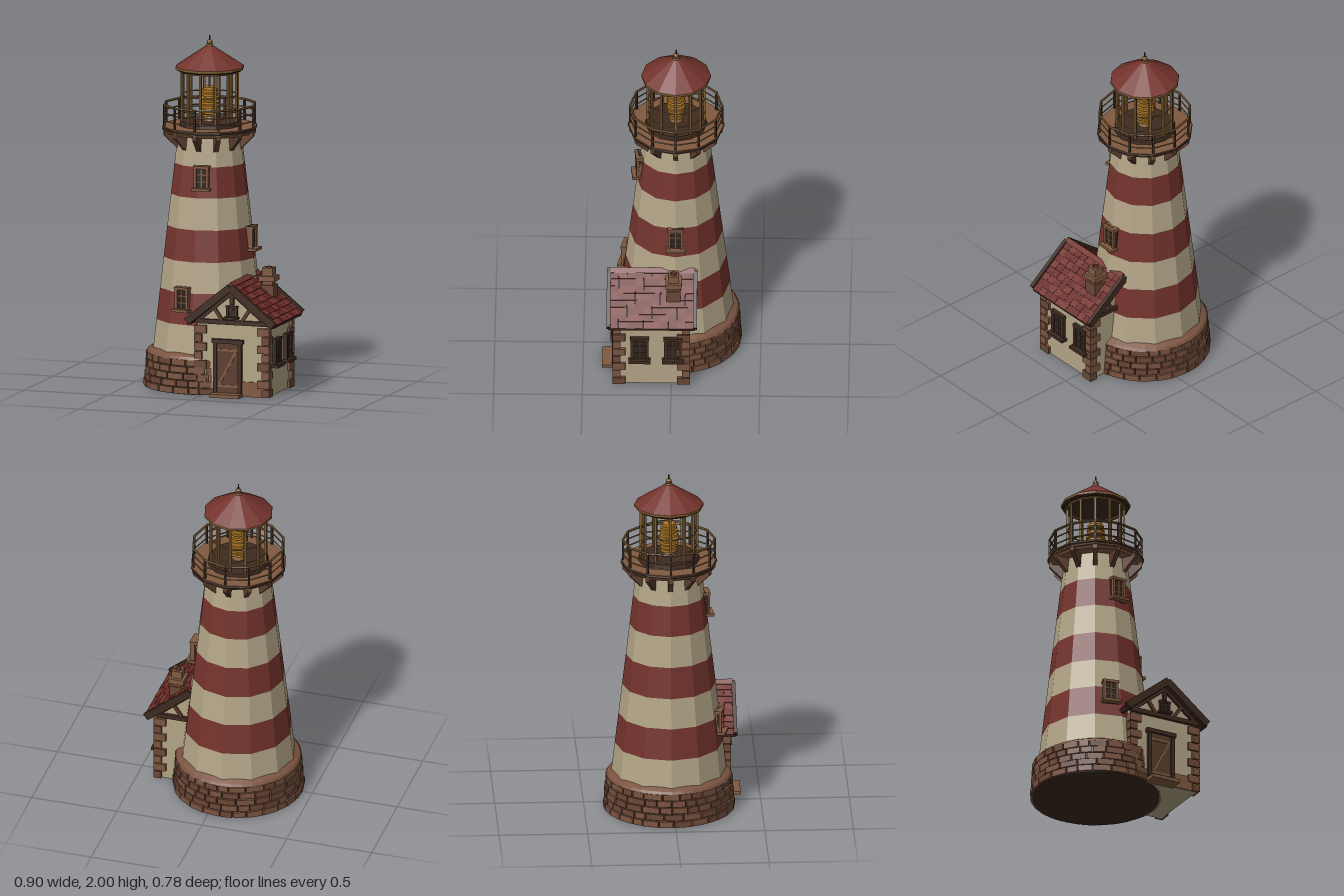
import * as THREE from 'three';

const mat = (color, extra = {}) => new THREE.MeshStandardMaterial({ color, flatShading: true, ...extra });
const M = {
  cream: mat(0xb3a587), red: mat(0x74332d), tile: mat(0x652624), stone: mat(0x7b5440), stone2: mat(0x6b4736),
  mortar: mat(0x3a281e), dark: mat(0x3f2b21), wood: mat(0x5a3c2b), sill: mat(0x805a41), gold: mat(0x7d5c32),
  lens: mat(0xb27a28), pane: mat(0x2f241d), ceiling: mat(0x3d2c1c, { side: THREE.DoubleSide }),
};
const TX = -0.072, TZ = -0.021, HX = 0.18; // tower axis and house ridge

let seed = 7;
const rand = () => (seed = (seed * 16807) % 2147483647) / 2147483647;

function add(parent, name, geo, material, x = 0, y = 0, z = 0) {
  const m = new THREE.Mesh(geo, material);
  m.name = name;
  m.position.set(x, y, z);
  parent.add(m);
  return m;
}
const box = (p, name, m, w, h, d, x, y, z) => add(p, name, new THREE.BoxGeometry(w, h, d), m, x, y, z);
const drum = (p, name, m, r0, r1, y0, y1, n = 12) =>
  add(p, name, new THREE.CylinderGeometry(r1, r0, y1 - y0, n), m, 0, (y0 + y1) / 2, 0);
function ring(p, name, m, r, tube, y, n = 12) {
  const t = add(p, name, new THREE.TorusGeometry(r, tube, 6, n), m, 0, y, 0);
  t.rotation.x = Math.PI / 2;
}
function group(parent, name, x = 0, y = 0, z = 0) {
  const g = new THREE.Group();
  g.name = name;
  g.position.set(x, y, z);
  parent.add(g);
  return g;
}
// box laid between two points in the xy plane
function beam(p, name, m, x0, y0, x1, y1, t, d, z) {
  const b = box(p, name, m, Math.hypot(x1 - x0, y1 - y0), t, d, (x0 + x1) / 2, (y0 + y1) / 2, z);
  b.rotation.z = Math.atan2(y1 - y0, x1 - x0);
}
// framed window facing +z, centred on its group
function makeWindow(parent, name, w, h, frame, x, y, z, turn = 0, depth = 0.035) {
  const g = group(parent, name, x, y, z), t = w * 0.18;
  g.rotation.y = turn;
  box(g, 'pane', M.pane, w, h, depth * 0.5, 0, 0, 0);
  for (const s of [-1, 1]) box(g, 'jamb', frame, t, h, depth, s * (w - t) / 2, 0, 0);
  box(g, 'lintel', frame, w * 1.08, t, depth * 1.1, 0, h / 2 - t / 2, 0);
  box(g, 'sill', frame, w * 1.25, t, depth * 1.5, 0, -h / 2 + t / 2, depth * 0.25);
  box(g, 'mullion', frame, 0.008, h, depth * 0.7, 0, 0, 0);
  for (const s of [-1, 1]) box(g, 'glazingBar', frame, w, 0.006, depth * 0.7, 0, s * h * 0.14, 0);
}

function makeStoneBase(tower) {
  const g = group(tower, 'stoneBase');
  drum(g, 'baseCore', M.mortar, 0.358, 0.342, 0, 0.2, 36);
  drum(g, 'baseLedge', M.stone, 0.355, 0.345, 0.195, 0.212, 36);
  drum(g, 'baseLedgeSlope', M.stone, 0.345, 0.315, 0.212, 0.228, 36);
  const rows = 5, h = 0.198 / rows;
  for (let r = 0; r < rows; r++) {
    const radius = 0.357 - r * 0.0035;
    const widths = Array.from({ length: 26 }, () => 0.7 + rand() * 0.6);
    const total = widths.reduce((a, b) => a + b);
    let a = r * 0.37;
    for (const w of widths) {
      const arc = (w / total) * Math.PI * 2, mid = a + arc / 2, bump = radius + rand() * 0.005 - 0.002;
      const b = box(g, 'stone', rand() < 0.6 ? M.stone : M.stone2, arc * radius - 0.005, h - 0.005, 0.022,
        Math.sin(mid) * bump, (r + 0.5) * h + 0.001, Math.cos(mid) * bump);
      b.rotation.y = mid;
      a += arc;
    }
  }
}

function makeTower(root) {
  const tower = group(root, 'tower', TX, 0, TZ);
  makeStoneBase(tower);
  // striped tapering shaft
  const levels = [0.2, 0.385, 0.565, 0.74, 0.92, 1.1, 1.275, 1.46];
  const rad = (y) => 0.327 - (y - 0.2) * 0.1165;
  for (let i = 0; i < 7; i++)
    drum(tower, i % 2 ? 'redBand' : 'creamBand', i % 2 ? M.red : M.cream, rad(levels[i]), rad(levels[i + 1]), levels[i], levels[i + 1]);
  // shaft windows: height and bearing
  for (const [y, a] of [[0.53, -0.22], [0.855, Math.PI / 2], [1.215, 0.115]]) {
    const r = rad(y) - 0.002;
    makeWindow(tower, 'towerWindow', 0.085, 0.14, M.sill, Math.sin(a) * r, y, Math.cos(a) * r, a, 0.045);
  }
  // gallery deck on brackets
  drum(tower, 'deckSupport', M.sill, 0.245, 0.255, 1.445, 1.462);
  drum(tower, 'deck', M.sill, 0.268, 0.272, 1.46, 1.486);
  ring(tower, 'deckEdge', M.dark, 0.265, 0.009, 1.474);
  const shape = new THREE.Shape([[0.165, 1.36], [0.188, 1.36], [0.262, 1.435], [0.262, 1.46], [0.165, 1.46]]
    .map((p) => new THREE.Vector2(...p)));
  const bracket = new THREE.ExtrudeGeometry(shape, { depth: 0.026, bevelEnabled: false }).translate(0, 0, -0.013);
  const rail = group(tower, 'railing'), lantern = group(tower, 'lantern');
  for (let i = 0; i < 12; i++) {
    const a = (i * Math.PI) / 6, c = Math.cos(a), s = Math.sin(a);
    add(tower, 'bracket', bracket, i % 2 ? M.wood : M.stone2).rotation.y = a;
    box(rail, 'railPost', M.dark, 0.011, 0.125, 0.011, c * 0.26, 1.547, s * 0.26).rotation.y = -a;
    box(lantern, 'lanternPost', M.gold, 0.013, 0.31, 0.013, c * 0.16, 1.655, s * 0.16).rotation.y = -a;
  }
  for (const y of [1.52, 1.562, 1.606]) ring(rail, 'rail', M.gold, 0.26, y > 1.6 ? 0.007 : 0.004, y);
  // lantern room
  drum(lantern, 'lanternCurb', M.dark, 0.175, 0.17, 1.485, 1.512);
  for (const y of [1.57, 1.66]) ring(lantern, 'glazingRing', M.gold, 0.16, 0.004, y);
  ring(lantern, 'topRing', M.gold, 0.162, 0.009, 1.797);
  drum(lantern, 'lensPedestal', M.gold, 0.04, 0.028, 1.51, 1.54);
  drum(lantern, 'lensCore', M.lens, 0.036, 0.036, 1.535, 1.705);
  for (let i = 0; i < 7; i++) {
    const r = 0.056 - Math.abs(i - 3) * 0.003;
    drum(lantern, 'lensRing', M.lens, r, r, 1.54 + i * 0.023, 1.553 + i * 0.023);
  }
  drum(lantern, 'lensRod', M.gold, 0.006, 0.006, 1.7, 1.8, 8);
  // cap
  drum(lantern, 'ceiling', M.ceiling, 0.185, 0.194, 1.8, 1.812);
  drum(lantern, 'eaveRing', M.gold, 0.196, 0.196, 1.808, 1.822);
  drum(lantern, 'lanternRoof', M.red, 0.196, 0.016, 1.822, 1.942);
  drum(lantern, 'finialCollar', M.gold, 0.024, 0.018, 1.932, 1.948);
  add(lantern, 'finialBall', new THREE.SphereGeometry(0.017, 10, 8), M.gold, 0, 1.957, 0);
  drum(lantern, 'finialSpike', M.dark, 0.006, 0.003, 1.965, 2, 8);
}

function makeHouse(root) {
  const g = group(root, 'house', HX, 0, 0);
  // walls and gables in one pentagon prism
  const wall = new THREE.Shape([[-0.208, 0], [0.208, 0], [0.208, 0.43], [0, 0.605], [-0.208, 0.43]]
    .map((p) => new THREE.Vector2(...p)));
  add(g, 'walls', new THREE.ExtrudeGeometry(wall, { depth: 0.405, bevelEnabled: false }), M.cream, 0, 0.004, -0.09);
  box(g, 'frontPlinth', M.sill, 0.17, 0.085, 0.012, 0.125, 0.046, 0.317);
  // alternating corner stones
  for (const [sx, z, sz] of [[-1, 0.315, 1], [1, 0.315, 1], [1, -0.09, -1]])
    for (let i = 0; i < 8; i++) {
      const w = i % 2 ? 0.072 : 0.046, d = i % 2 ? 0.046 : 0.072;
      box(g, 'cornerStone', i % 3 ? M.stone : M.stone2, w, 0.044, d,
        sx * (0.224 - w / 2), 0.027 + i * 0.05, z + sz * (0.016 - d / 2));
    }
  // door and step
  const door = group(g, 'door', -0.025, 0, 0.318);
  box(door, 'doorPanel', M.wood, 0.13, 0.29, 0.02, 0, 0.165, 0);
  for (const s of [-1, 1]) box(door, 'doorJamb', M.dark, 0.022, 0.3, 0.036, s * 0.073, 0.165, 0);
  box(door, 'doorLintel', M.dark, 0.185, 0.024, 0.045, 0, 0.315, 0);
  for (const y of [0.06, 0.265]) box(door, 'doorRail', M.sill, 0.12, 0.014, 0.028, 0, y, 0);
  beam(door, 'doorBrace', M.sill, -0.05, 0.07, 0.05, 0.258, 0.013, 0.026, 0);
  box(g, 'doorStep', M.sill, 0.175, 0.02, 0.09, -0.025, 0.01, 0.347);
  // windows
  for (const z of [0.178, -0.01]) makeWindow(g, 'sideWindow', 0.1, 0.165, M.dark, 0.212, 0.245, z, Math.PI / 2);
  makeWindow(g, 'gableWindow', 0.065, 0.075, M.dark, 0, 0.482, 0.318, 0, 0.03);
  // gable timbers, bargeboards on both ends
  for (const [z, zb] of [[0.318, 0.354], [-0.093, -0.134]]) {
    box(g, 'tieBeam', M.dark, 0.41, 0.026, 0.03, 0, 0.424, z);
    box(g, 'kingPost', M.dark, 0.022, 0.08, 0.024, 0, 0.565, z);
    for (const s of [-1, 1]) {
      beam(g, 'gableStrut', M.wood, s * 0.06, 0.435, s * 0.11, 0.51, 0.018, 0.024, z);
      beam(g, 'gableRafter', M.dark, s * 0.215, 0.42, 0, 0.597, 0.025, 0.026, z);
      beam(g, 'bargeboard', M.dark, s * 0.258, 0.422, 0, 0.63, 0.042, 0.022, zb);
    }
  }
  // roof slopes with lapped tile courses
  for (const s of [-1, 1]) {
    const slope = group(g, 'roofSlope', 0, 0.632, 0.11);
    slope.rotation.z = -s * 0.69;
    box(slope, 'roofDeck', M.dark, 0.325, 0.018, 0.47, s * 0.163, -0.012, 0);
    for (let i = 0; i < 8; i++)
      for (let j = 0; j < 10; j++) {
        const t = box(slope, 'tile', (i * 3 + j * 5) % 7 < 4 ? M.tile : M.red, 0.052, 0.011, 0.0462,
          s * (0.022 + i * 0.0415), 0.002 + rand() * 0.003, -0.2115 + j * 0.047);
        t.rotation.z = s * 0.1;
      }
    box(g, 'eaveBoard', M.dark, 0.02, 0.024, 0.49, s * 0.247, 0.418, 0.11);
  }
  const cap = box(g, 'ridgeCap', M.red, 0.032, 0.032, 0.48, 0, 0.636, 0.11);
  cap.rotation.z = Math.PI / 4;
  // chimney
  const ch = group(g, 'chimney', 0.105, 0, -0.012);
  box(ch, 'chimneyBase', M.stone2, 0.08, 0.07, 0.08, 0, 0.56, 0);
  box(ch, 'chimneyShaft', M.stone, 0.058, 0.16, 0.058, 0, 0.6, 0);
  box(ch, 'chimneyCap', M.sill, 0.092, 0.03, 0.092, 0, 0.632, 0);
  box(ch, 'chimneyTop', M.sill, 0.06, 0.05, 0.06, 0, 0.668, 0);
  const pot = add(ch, 'chimneyPot', new THREE.TorusGeometry(0.015, 0.006, 6, 12), M.red, 0, 0.693, 0);
  pot.rotation.x = Math.PI / 2;
}

export function createModel() {
  const root = new THREE.Group();
  root.name = 'lighthouse';
  makeTower(root);
  makeHouse(root);
  return root;
}
